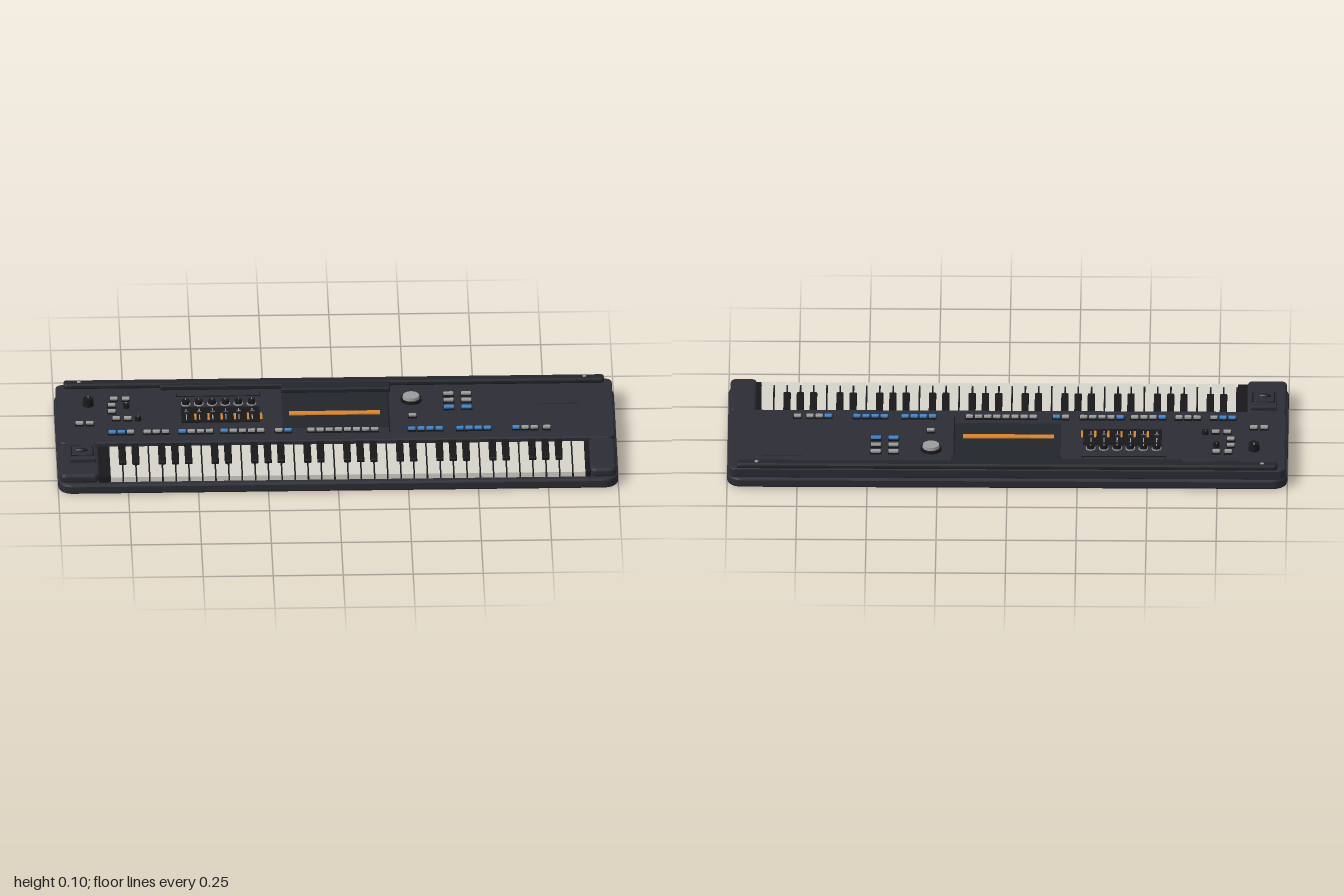
import * as THREE from 'three';

const mat = (name, color, extra = {}) => new THREE.MeshStandardMaterial({ name, color, ...extra });

export function createModel() {
  const body = mat('charcoal body', 0x2b2c35);
  const trim = mat('dark trim', 0x22262a);
  const black = mat('black', 0x18181b);
  const ivory = mat('white key', 0xd6d3c9);
  const grey = mat('grey button', 0x9b9c9a);
  const blue = mat('blue button', 0x3d85cc);
  const orange = mat('orange display', 0xd8832c);
  const root = new THREE.Group();
  root.name = 'keyboard';

  const add = (name, geo, material, x = 0, y = 0, z = 0, parent = root) => {
    const m = new THREE.Mesh(geo, material);
    m.name = name;
    m.position.set(x, y, z);
    parent.add(m);
    return m;
  };
  const group = (name) => {
    const g = new THREE.Group();
    g.name = name;
    root.add(g);
    return g;
  };
  // Box given by its extents
  const box = (name, material, x0, x1, y0, y1, z0, z1, parent) =>
    add(name, new THREE.BoxGeometry(x1 - x0, y1 - y0, z1 - z0), material,
      (x0 + x1) / 2, (y0 + y1) / 2, (z0 + z1) / 2, parent);
  // Horizontal slab with rounded plan corners and softened edges
  const slab = (name, material, x0, x1, y0, y1, z0, z1, r, b, parent) => {
    const s = new THREE.Shape();
    const w = (x1 - x0) / 2 - b, d = (z1 - z0) / 2 - b;
    s.moveTo(-w + r, -d);
    s.lineTo(w - r, -d).absarc(w - r, -d + r, r, -Math.PI / 2, 0);
    s.lineTo(w, d - r).absarc(w - r, d - r, r, 0, Math.PI / 2);
    s.lineTo(-w + r, d).absarc(-w + r, d - r, r, Math.PI / 2, Math.PI);
    s.lineTo(-w, -d + r).absarc(-w + r, -d + r, r, Math.PI, Math.PI * 1.5);
    const g = new THREE.ExtrudeGeometry(s, {
      depth: y1 - y0 - 2 * b, bevelEnabled: true, bevelSize: b, bevelThickness: b,
      bevelSegments: 2, curveSegments: 5,
    });
    g.rotateX(-Math.PI / 2);
    return add(name, g, material, (x0 + x1) / 2, y0 + b, (z0 + z1) / 2, parent);
  };

  // Case
  slab('base', body, -1, 1, 0, 0.036, -0.358, 0.358, 0.045, 0.007);
  slab('controlPanel', body, -0.993, 0.993, 0.036, 0.072, -0.35, 0.1, 0.02, 0.004);
  slab('leftCheek', body, -0.993, -0.853, 0.036, 0.069, 0.095, 0.342, 0.012, 0.009);
  slab('rightCheek', body, 0.9, 0.993, 0.036, 0.069, 0.095, 0.342, 0.012, 0.009);
  box('leftKeyBlock', black, -0.855, -0.818, 0.034, 0.056, 0.09, 0.335);
  box('rightKeyBlock', black, 0.884, 0.902, 0.034, 0.056, 0.09, 0.335);
  box('keyBed', black, -0.82, 0.886, 0.034, 0.042, 0.09, 0.33);

  // Rear rail with its stepped middle
  slab('rearRail', trim, -0.965, 0.965, 0.071, 0.091, -0.35, -0.312, 0.006, 0.006);
  slab('railStep', trim, -0.62, 0.2, 0.071, 0.09, -0.325, -0.296, 0.003, 0.004);
  slab('screenHood', trim, -0.19, 0.2, 0.071, 0.09, -0.32, -0.262, 0.003, 0.004);
  for (const x of [-0.91, 0.895])
    add('railScrew', new THREE.CylinderGeometry(0.007, 0.007, 0.003, 12), grey, x, 0.0915, -0.331);

  // White keys, and black keys following the octave pattern
  const keys = group('keys');
  const pitch = 1.7 / 36, keyX = -0.815;
  for (let i = 0; i < 36; i++) {
    const x = keyX + i * pitch;
    box('whiteKey', ivory, x + 0.003, x + pitch - 0.003, 0.037, 0.056, 0.09, 0.336, keys);
    if (i < 35 && [0, 1, 3, 4, 5].includes(i % 7))
      slab('blackKey', black, x + pitch - 0.013, x + pitch + 0.013, 0.05, 0.068, 0.09, 0.242, 0.002, 0.003, keys);
  }

  // Joystick pad on the left cheek
  slab('joystickPad', body, -0.958, -0.863, 0.066, 0.085, 0.11, 0.246, 0.003, 0.002);
  box('joystickWell', black, -0.952, -0.87, 0.084, 0.0865, 0.146, 0.222);
  slab('joystickPlate', body, -0.948, -0.874, 0.084, 0.088, 0.15, 0.218, 0.004, 0.0015);
  const stick = add('joystick', new THREE.SphereGeometry(0.009, 14, 10), black, -0.915, 0.088, 0.187);
  stick.scale.x = 2.6;

  // Display
  box('displaySurround', trim, -0.19, 0.19, 0.071, 0.0735, -0.265, 0.0);
  box('display', orange, -0.165, 0.16, 0.0735, 0.077, -0.116, -0.09);
  box('displayDivider', black, 0.189, 0.193, 0.071, 0.0738, -0.265, 0.045);

  // Thin outline above the knobs and a low pad on the right
  box('knobBracket', black, -0.565, -0.265, 0.071, 0.0735, -0.249, -0.245);
  for (const x of [-0.565, -0.268]) box('knobBracketEnd', black, x, x + 0.003, 0.071, 0.0735, -0.275, -0.245);
  box('sidePad', body, 0.73, 0.87, 0.071, 0.0745, -0.25, -0.16);

  // Knobs and sliders
  const knobs = group('knobs');
  const knob = (x, z, r, y1, ring) => {
    if (ring) add('knobRing', new THREE.CylinderGeometry(r * 1.18, r * 1.18, 0.004, 24), grey, x, 0.074, z, knobs);
    add('knob', new THREE.CylinderGeometry(r * 0.88, r, y1 - 0.072, 24), black, x, (y1 + 0.072) / 2, z, knobs);
    box('knobPointer', grey, x - 0.0015, x + 0.0015, y1, y1 + 0.001, z - r * 0.75, z, knobs);
  };
  const sliders = group('sliders');
  box('sliderPanel', black, -0.55, -0.27, 0.0715, 0.0755, -0.16, -0.045, sliders);
  for (let i = 0; i < 6; i++) {
    const x = -0.532 + i * 0.047;
    knob(x, -0.187, 0.0145, 0.09, true);
    box('sliderTrack', grey, x - 0.002, x + 0.002, 0.0755, 0.0765, -0.145, -0.062, sliders);
    box('sliderLight', orange, x + 0.028, x + 0.036, 0.0755, 0.077, -0.108, -0.06, sliders);
    box('sliderCap', trim, x - 0.008, x + 0.008, 0.0755, 0.085, -0.112, -0.1, sliders);
    box('sliderCapLine', grey, x - 0.008, x + 0.008, 0.085, 0.086, -0.107, -0.105, sliders);
  }
  knob(-0.88, -0.19, 0.02, 0.1, false);
  knob(-0.745, -0.168, 0.012, 0.088, false);
  knob(-0.705, -0.07, 0.012, 0.086, false);

  // Large data dial
  add('dialBase', new THREE.CylinderGeometry(0.037, 0.038, 0.01, 32), black, 0.273, 0.077, -0.199);
  add('dial', new THREE.CylinderGeometry(0.029, 0.031, 0.013, 32), grey, 0.273, 0.0865, -0.199);

  // Buttons
  const buttons = group('buttons');
  const button = (x, z, material, w = 0.027) => {
    slab('button', material, x - w / 2, x + w / 2, 0.0775, 0.0865, z - 0.008, z + 0.008, 0.002, 0.002, buttons);
    box('buttonStem', black, x - w / 2 - 0.002, x + w / 2 + 0.002, 0.071, 0.078, z - 0.009, z + 0.009, buttons);
  };
  for (const x of [0.407, 0.47]) {
    button(x, -0.23, grey, 0.036);
    button(x, -0.18, grey, 0.036);
    button(x, -0.127, blue, 0.036);
  }
  const greys = [[0.275, -0.068], [-0.788, -0.22], [-0.745, -0.22], [-0.797, -0.172], [-0.797, -0.124],
    [-0.783, -0.07], [-0.742, -0.07], [-0.915, -0.036], [-0.878, -0.036]];
  for (const [x, z] of greys) button(x, z, grey);

  // Front button row: start position and colours (b blue, g grey) of each cluster
  const clusters = [[-0.8, 'bbg'], [-0.675, 'ggg'], [-0.55, 'bggg'], [-0.4, 'bgggg'], [-0.205, 'gb'],
    [-0.09, 'gggggggg'], [0.27, 'bbbb'], [0.442, 'bbbb'], [0.642, 'bgg'], [0.752, 'g']];
  for (const [x, colours] of clusters)
    [...colours].forEach((c, i) => button(x + i * 0.0325, 0.036, c === 'b' ? blue : grey, 0.026));

  return root;
}
